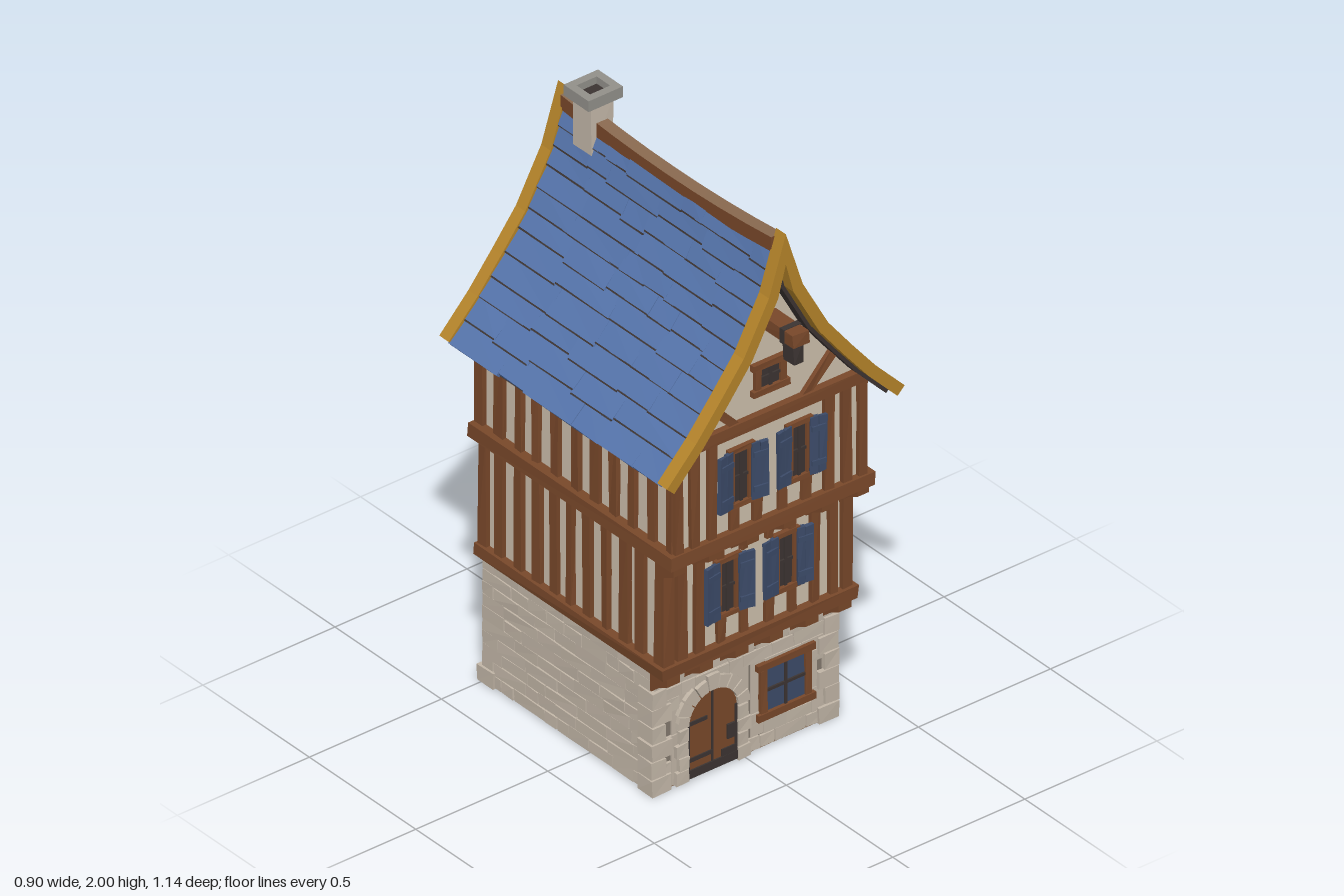
import * as THREE from 'three';
import { mergeGeometries } from 'three/addons/utils/BufferGeometryUtils.js';

const colour = (name, hex) => {
  const m = new THREE.MeshStandardMaterial({ color: hex });
  m.name = name;
  return m;
};

export function createModel() {
  const plaster = colour('plaster', 0xcdbfac), stone = colour('stone', 0xc2b6a7);
  const mortar = colour('mortar', 0x83796e), timber = colour('timber', 0x79482a);
  const gold = colour('goldBoards', 0xb5842a), slate = colour('blueShingle', 0x5574ab);
  const shutterBlue = colour('shutterBlue', 0x3c4b69), dark = colour('darkShadow', 0x3c3432);
  const grey = colour('chimneyGrey', 0x92908a), paleWood = colour('paleWood', 0x8a6a50);

  let seed = 7;
  const rnd = (a = 0, b = 1) => {
    seed = (seed * 16807) % 2147483647;
    return a + (b - a) * seed / 2147483647;
  };

  // Box between two corners; j moves its eight corners a little for a hand-cut look
  const box = (x0, x1, y0, y1, z0, z1, j = 0) => {
    const g = new THREE.BoxGeometry(x1 - x0, y1 - y0, z1 - z0), p = g.attributes.position;
    const shift = Array.from({ length: 8 }, () => [rnd(-j, j), rnd(-j, j), rnd(-j, j)]);
    for (let i = 0; i < p.count; i++) {
      const s = shift[(p.getX(i) > 0) + 2 * (p.getY(i) > 0) + 4 * (p.getZ(i) > 0)];
      p.setXYZ(i, p.getX(i) + s[0], p.getY(i) + s[1], p.getZ(i) + s[2]);
    }
    g.translate((x0 + x1) / 2, (y0 + y1) / 2, (z0 + z1) / 2);
    const flat = g.toNonIndexed();
    flat.computeVertexNormals();
    return flat;
  };
  const extrude = (points, z0, z1) => {
    const shape = new THREE.Shape(points.map(([x, y]) => new THREE.Vector2(x, y)));
    return new THREE.ExtrudeGeometry(shape, { depth: z1 - z0, bevelEnabled: false }).translate(0, 0, z0);
  };
  const add = (parent, name, material, geos) => {
    const mesh = new THREE.Mesh(mergeGeometries(geos), material);
    mesh.name = name;
    parent.add(mesh);
  };
  const group = (parent, name) => {
    const g = new THREE.Group();
    g.name = name;
    parent.add(g);
    return g;
  };
  const house = new THREE.Group();
  house.name = 'townHouse';

  // Ground floor: mortar core and rows of raised stones on all four sides
  const ground = group(house, 'groundFloor');
  add(ground, 'mortarCore', mortar, [box(-0.335, 0.335, 0.004, 0.44, -0.497, 0.292)]);
  add(ground, 'underside', paleWood, [box(-0.338, 0.338, 0, 0.006, -0.5, 0.296)]);
  const stones = [
    box(-0.27, 0.02, 0.004, 0.35, 0.28, 0.297), box(0.03, 0.28, 0.05, 0.34, 0.28, 0.297)];
  const row = 0.0438;
  const course = (from, to, make) => {
    for (let y = 0.004; y < 0.42; y += row) {
      for (let u = from; u < to - 0.01;) {
        const v = Math.min(to, u + rnd(0.05, 0.16));
        make(u, v - (rnd() < 0.4 ? 0 : 0.004), y, y + row - (rnd() < 0.4 ? 0 : 0.004));
        u = v;
      }
    }
  };
  const opening = (u, v, y) => (v > -0.22 && u < -0.02 && y < 0.28) || (v > 0.08 && u < 0.23 && y > 0.1 && y < 0.26);
  course(-0.335, 0.335, (u, v, a, b) => { if (!opening(u, v, a)) stones.push(box(u, v, a, b, 0.28, 0.3, 0.0015)); });
  course(-0.335, 0.335, (u, v, a, b) => stones.push(box(u, v, a, b, -0.506, -0.49, 0.0015)));
  for (const s of [-1, 1])
    course(-0.5, 0.295, (u, v, a, b) => stones.push(box(s * 0.335 - 0.01, s * 0.335 + 0.01, a, b, u, v, 0.0015)));
  add(ground, 'wallStones', stone, stones);

  // Corner stones
  const quoins = [];
  for (const s of [-1, 1]) for (let i = 0; i < 6; i++) {
    const w = i % 2 ? 0.052 : 0.075, y = i * 0.061, x = s * (0.354 - w / 2);
    quoins.push(box(x - w / 2, x + w / 2, y, y + 0.057, 0.24, 0.309, 0.002));
    if (i === 0) quoins.push(box(x - w / 2, x + w / 2, y, y + 0.057, -0.514, -0.44, 0.002));
  }
  add(ground, 'cornerStones', stone, quoins);

  // Arched door with stone surround
  const door = group(ground, 'door');
  door.position.set(-0.122, 0, 0.3);
  const arc = (r, a0, a1, n) => Array.from({ length: n + 1 }, (_, i) => {
    const a = a0 + (a1 - a0) * i / n;
    return [r * Math.cos(a), 0.195 + r * Math.sin(a)];
  });
  add(door, 'doorPanel', timber, [extrude([[-0.094, 0.006], [0.094, 0.006], ...arc(0.094, 0, Math.PI, 12)], -0.02, 0.002)]);
  add(door, 'doorIronwork', dark, [
    box(-0.094, 0.094, 0.006, 0.035, 0, 0.007), box(-0.094, -0.02, 0.19, 0.203, 0, 0.006), box(-0.094, 0, 0.062, 0.076, 0, 0.006),
    box(-0.003, 0.003, 0.03, 0.285, 0, 0.005), box(0.055, 0.082, 0.09, 0.14, 0, 0.009), box(0.035, 0.094, 0.03, 0.06, 0, 0.006),
    box(-0.094, -0.085, 0.03, 0.2, 0, 0.005), box(0.085, 0.094, 0.03, 0.2, 0, 0.005)]);
  const surround = [];
  for (let i = 0; i < 9; i++) {
    const a = i * Math.PI / 9 + 0.02, b = (i + 1) * Math.PI / 9 - 0.02;
    surround.push(extrude([...arc(0.094, a, b, 2), ...arc(rnd(0.135, 0.15), b, a, 2)], -0.02, 0.012));
  }
  for (const s of [-1, 1]) for (let i = 0; i < 4; i++) {
    const w = i % 2 ? 0.036 : 0.046, x = s * (0.094 + w / 2);
    surround.push(box(x - w / 2, x + w / 2, i * 0.048 + 0.002, i * 0.048 + 0.046, -0.02, 0.012, 0.002));
  }
  add(door, 'doorSurround', stone, surround);

  // Framed glazing, used at three sizes
  const glazing = (parent, name, w, h, glass, t) => {
    const g = group(parent, name);
    add(g, 'pane', glass, [box(-w, w, -h, h, -0.012, 0.002)]);
    add(g, 'windowFrame', timber, [
      box(-w - t, -w, -h, h, -0.012, 0.01, 0.001), box(w, w + t, -h, h, -0.012, 0.01, 0.001),
      box(-w - t * 1.5, w + t * 1.5, h, h + t, -0.012, 0.012, 0.001), box(-w - t * 1.5, w + t * 1.5, -h - t, -h, -0.012, 0.014, 0.001)]);
    add(g, 'glazingBars', dark, [box(-0.005, 0.005, -h, h, 0, 0.008), box(-w, w, -0.005, 0.005, 0, 0.008)]);
    return g;
  };
  glazing(ground, 'groundWindow', 0.073, 0.075, shutterBlue, 0.024).position.set(0.155, 0.2, 0.3);

  // Jettied upper storeys
  const storeys = group(house, 'upperStoreys');
  add(storeys, 'plasterWalls', plaster, [
    box(-0.342, 0.342, 0.44, 0.9, -0.493, 0.352), box(-0.352, 0.352, 0.88, 1.23, -0.493, 0.415)]);
  add(storeys, 'floorBeams', timber, [
    box(-0.37, 0.37, 0.445, 0.49, -0.515, 0.378, 0.004), box(-0.385, 0.385, 0.87, 0.915, -0.515, 0.44, 0.004),
    box(-0.365, 0.365, 1.245, 1.288, 0.405, 0.437, 0.003), box(-0.365, 0.365, 1.245, 1.288, -0.514, -0.48, 0.003)]);
  const posts = [];
  const post = (x, halfWide, half, y0, y1, z) =>
    posts.push(box(x - halfWide, x + halfWide, y0, y1, z - half, z + half, 0.003));
  for (const [y0, y1, x, zf] of [[0.48, 0.88, 0.342, 0.352], [0.9, 1.25, 0.352, 0.415]]) {
    const lower = y0 < 0.6;
    for (const s of [-1, 1]) {
      // Side posts
      for (let i = 0; i < 11; i++)
        post(s * x, 0.016, rnd(0.014, 0.021), y0, y1, -0.487 + (zf + 0.478) * i / 10 + (i % 10 ? rnd(-0.008, 0.008) : 0));
      // Front and back posts
      for (const px of [x - 0.004, 0.287, 0.22]) {
        post(s * px, rnd(0.014, 0.02), 0.016, y0, y1, zf);
        post(s * px, rnd(0.014, 0.02), 0.016, y0, y1, -0.493);
      }
      // Posts beside the windows, running through on the windowless wall
      for (const px of [0.048, 0.135]) {
        post(s * px, 0.015, 0.013, y0, y0 + 0.1, zf);
        post(s * px, 0.016, 0.013, y0, lower ? y1 : y0 + 0.1, -0.493);
        if (lower) post(s * px, 0.013, 0.013, 0.78, y1, zf);
      }
    }
  }
  add(storeys, 'wallPosts', timber, posts);

  // Curved brackets under each jetty
  const bracket = (x, y, z, d, w) => extrude([[0, 0], [d, 0], [d, -0.03], [d * 0.5, -0.05], [0.006, -0.078], [0, -0.078]], 0, w)
    .rotateY(-Math.PI / 2).translate(x + w / 2, y, z);
  add(storeys, 'jettyBrackets', timber, [-0.325, -0.2, -0.065, 0.065, 0.2, 0.325].flatMap(x => [
    bracket(x, 0.448, 0.295, 0.078, 0.05), bracket(x * 1.07, 0.873, 0.35, 0.08, 0.045)]));

  // Shuttered windows, two to a storey
  const shutteredWindow = (x, y, z, back) => {
    const g = glazing(storeys, 'shutteredWindow', 0.026, 0.088, dark, 0.016);
    g.position.set(x, y, z);
    if (back) g.rotation.y = Math.PI;
    for (const s of [-1, 1]) {
      const leaf = group(g, 'shutter');
      leaf.position.set(s * 0.036, 0, 0.01);
      leaf.rotation.y = -s * 0.15;
      const side = (a, b) => [Math.min(s * a, s * b), Math.max(s * a, s * b)];
      add(leaf, 'shutterPlanks', shutterBlue, [box(...side(0, 0.028), -0.1, 0.1, -0.006, 0.006, 0.002),
        box(...side(0.029, 0.057), -0.098, 0.098, -0.006, 0.006, 0.002)]);
      add(leaf, 'shutterBars', shutterBlue, [0.06, -0.06].map(h => box(...side(0.004, 0.052), h - 0.009, h + 0.009, 0, 0.011)));
    }
  };
  for (const x of [-0.11, 0.11]) {
    shutteredWindow(x, 0.675, 0.355, false);
    shutteredWindow(x, 1.095, 0.418, false);
    shutteredWindow(x, 1.095, -0.496, true);
  }

  // Roof profile, flaring towards the eaves, offset inwards by d
  const eave = [[0, 1.935], [0.064, 1.735], [0.16, 1.56], [0.25, 1.445], [0.34, 1.335], [0.45, 1.22]];
  const profile = d => eave.map(([x, y], i) => {
    if (i === 0) return [0, y - 2.8 * d];
    const a = eave[i - 1], b = eave[i + 1] || eave[i], tx = b[0] - a[0], ty = b[1] - a[1], l = Math.hypot(tx, ty);
    return [x + ty / l * d, y - tx / l * d];
  });
  const ring = d => {
    const p = profile(d);
    return [...p.slice(1).reverse().map(([x, y]) => [-x, y]), ...p];
  };
  const band = (d0, d1, z0, z1) => extrude([...ring(d0), ...ring(d1).reverse()], z0, z1);

  // Gables with braces and a small window
  const gable = group(house, 'gable');
  add(gable, 'gableWalls', plaster, [extrude([[-0.355, 1.2], ...ring(0.045).slice(1, -1), [0.355, 1.2]], -0.493, 0.415)]);
  const braces = [];
  for (const s of [-1, 1]) for (const z of [0.418, -0.496])
    braces.push(box(-0.09, 0.09, -0.014, 0.014, -0.012, 0.012, 0.002).rotateZ(s * 0.8).translate(s * 0.185, 1.335, z));
  add(gable, 'gableBraces', timber, braces);
  for (const back of [false, true]) {
    const g = glazing(gable, 'atticWindow', 0.036, 0.034, dark, 0.022);
    g.position.set(0, 1.405, back ? -0.498 : 0.42);
    if (back) g.rotation.y = Math.PI;
  }
  add(gable, 'hoistBeam', timber, [box(-0.03, 0.03, 1.58, 1.622, 0.4, 0.57, 0.003)]);
  add(gable, 'hoistPulley', dark, [box(-0.018, 0.018, 1.508, 1.585, 0.505, 0.555, 0.004), box(-0.033, 0.033, 1.575, 1.626, 0.51, 0.53)]);

  // Roof: deck, dark gable rafters, verge boards and overlapping shingles
  const roof = group(house, 'roof');
  add(roof, 'roofDeck', dark, [
    band(0.02, 0.03, -0.53, 0.455), band(0.025, 0.05, 0.41, 0.455), band(0.025, 0.05, -0.53, -0.488)]);
  add(roof, 'vergeBoards', gold, [band(0, 0.038, 0.452, 0.498), band(0, 0.038, -0.572, -0.528)]);
  const deck = profile(0.018);
  const deckX = y => {
    const i = Math.max(1, deck.findIndex(p => p[1] <= y)), a = deck[i - 1], b = deck[i];
    return a[0] + (b[0] - a[0]) * (a[1] - y) / (a[1] - b[1]);
  };
  const shingles = [], lips = [], rows = 11, top = 1.87, step = (top - 1.212) / rows;
  for (const s of [-1, 1]) for (let r = 0; r < rows; r++) {
    for (let z = -0.528; z < 0.44;) {
      const wide = z + rnd(0.09, 0.26), end = wide > 0.39 ? 0.453 : wide;
      const y0 = top - r * step, y1 = Math.max(1.209, y0 - step - rnd(-0.004, 0.01));
      const x0 = deckX(y0), x1 = deckX(y1) + 0.007, len = Math.hypot(x1 - x0, y1 - y0);
      const place = g => g.rotateZ(Math.atan2(y1 - y0, s * (x1 - x0))).translate(s * (x0 + x1) / 2, (y0 + y1) / 2, 0);
      shingles.push(place(box(-len / 2 - 0.01, len / 2, -0.007, 0.007, z - 0.004, end + 0.004, 0.002)));
      if (r < rows - 1) lips.push(place(box(len / 2 - 0.001, len / 2 + 0.004, -0.007, 0.004, z, end)));
      z = end;
    }
  }
  add(roof, 'shingles', slate, shingles);
  add(roof, 'shingleShadows', dark, lips);

  // Sagging ridge beam with a weathered top
  const ridge = new THREE.BoxGeometry(0.042, 0.05, 0.99, 1, 1, 8), rp = ridge.attributes.position;
  for (let i = 0; i < rp.count; i++) {
    const z = rp.getZ(i) / 0.495;
    rp.setXYZ(i, rp.getX(i), rp.getY(i) + 1.86 + 0.026 * z * z, rp.getZ(i) - 0.04);
  }
  ridge.computeVertexNormals();
  const ridgeBeam = new THREE.Mesh(ridge, [timber, timber, paleWood, timber, timber, timber]);
  ridgeBeam.name = 'ridgeBeam';
  roof.add(ridgeBeam);

  // Chimney with an open cap
  const chimney = group(house, 'chimney');
  add(chimney, 'chimneyStack', stone, [box(-0.042, 0.042, 1.79, 1.965, -0.45, -0.365, 0.002)]);
  add(chimney, 'chimneyCap', grey, [
    box(-0.065, -0.038, 1.962, 2, -0.465, -0.348), box(0.038, 0.065, 1.962, 2, -0.465, -0.348),
    box(-0.038, 0.038, 1.962, 2, -0.465, -0.438), box(-0.038, 0.038, 1.962, 2, -0.375, -0.348)]);
  add(chimney, 'flue', dark, [box(-0.038, 0.038, 1.962, 1.975, -0.438, -0.375)]);
  return house;
}
